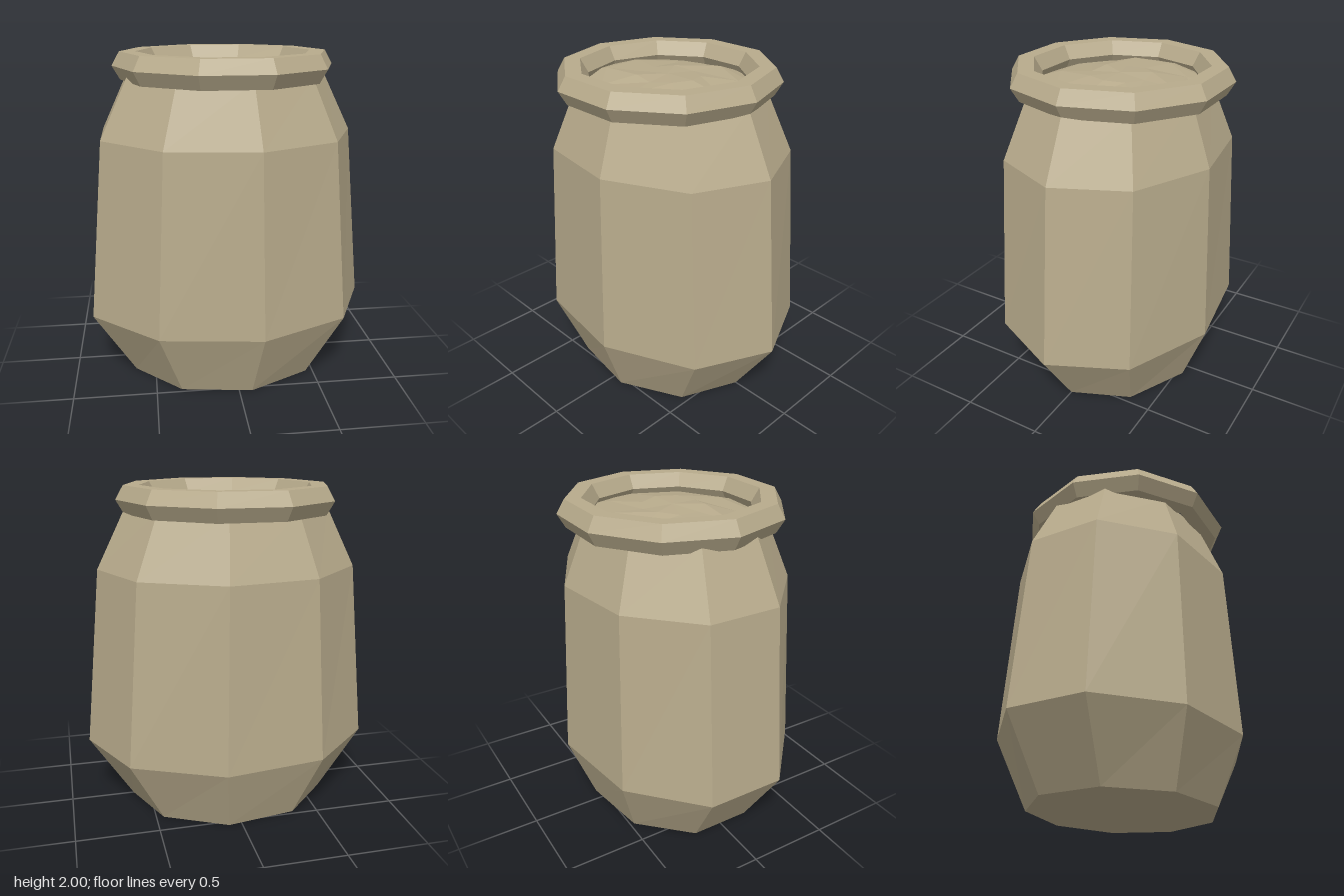
import * as THREE from 'three';

const SIDES = 9;
const CENTRE_X = -0.03;

// Skin a stack of elliptical rings [y, radiusX, radiusZ, lumps?]; zero radius closes an end.
function ringSolid(rings) {
  const point = ([y, rx, rz, lumps], i) => {
    const k = i % SIDES;
    const a = (k / SIDES) * Math.PI * 2;
    return [rx * Math.cos(a), y + (lumps ? lumps[k] : 0), -rz * Math.sin(a)];
  };
  const positions = [];
  for (let r = 0; r < rings.length - 1; r++) {
    const lower = rings[r], upper = rings[r + 1];
    for (let i = 0; i < SIDES; i++) {
      const a = point(lower, i), b = point(lower, i + 1);
      const c = point(upper, i + 1), d = point(upper, i);
      if (lower[1] > 0) positions.push(...a, ...b, ...c);
      if (upper[1] > 0) positions.push(...a, ...c, ...d);
      // a closing fan has lost one of the two triangles
      if (upper[1] === 0) positions.splice(positions.length - 9, 9, ...a, ...b, ...c);
    }
  }
  const geometry = new THREE.BufferGeometry();
  geometry.setAttribute('position', new THREE.Float32BufferAttribute(positions, 3));
  geometry.computeVertexNormals();
  return geometry;
}

export function createModel() {
  const group = new THREE.Group();
  group.name = 'jar';
  const clay = new THREE.MeshStandardMaterial({ color: 0xb8ab8c, flatShading: true });
  clay.name = 'sandy clay';

  const add = (name, geometry, y = 0) => {
    const mesh = new THREE.Mesh(geometry, clay);
    mesh.name = name;
    mesh.position.set(CENTRE_X, y, 0);
    group.add(mesh);
  };

  // Squashed nine-sided body with a closed base
  add('body', ringSolid([
    [0, 0, 0],
    [0, 0.633, 0.548],
    [0.41, 0.9, 0.708],
    [1.51, 0.795, 0.658],
    [1.87, 0.617, 0.518],
  ]));

  // Slightly lumpy filling seen through the mouth
  const lumps = [-0.01, 0.005, 0.015, -0.005, 0.01, 0.01, -0.015, 0.005, -0.01];
  add('filling', ringSolid([
    [1.87, 0.617, 0.518],
    [1.905, 0.43, 0.38, lumps],
    [1.93, 0.2, 0.18, lumps.map((v) => -v * 0.6)],
    [1.935, 0, 0],
  ]));

  // Ten-sided rolled rim with a hexagonal section
  const rim = new THREE.TorusGeometry(0.575, 0.095, 6, 10);
  rim.rotateX(Math.PI / 2);
  add('rim', rim, 1.918);

  return group;
}
